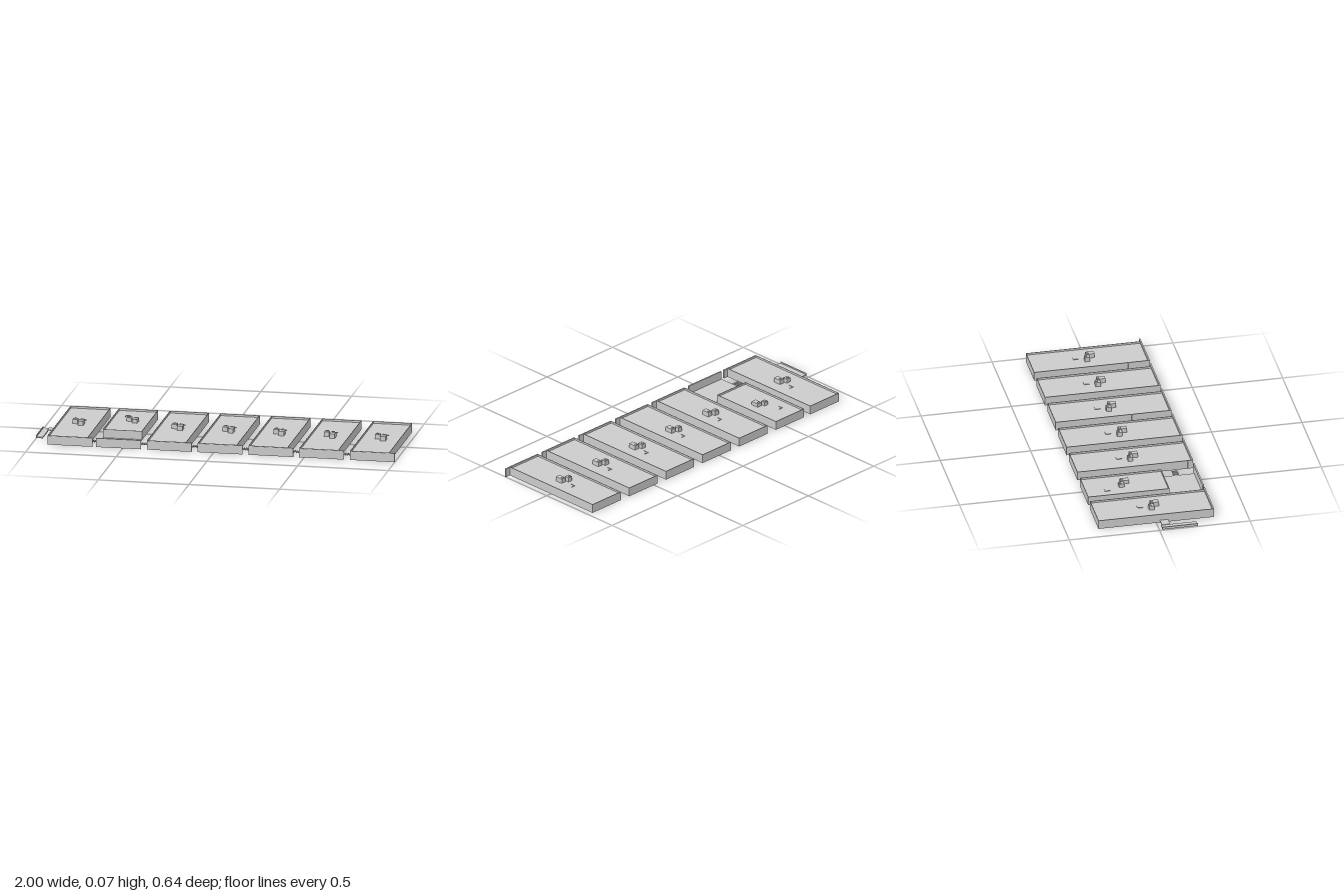
import * as THREE from 'three';

const material = new THREE.MeshStandardMaterial({ color: 0xcccccc, flatShading: true });

// Box given by its minimum and maximum on each axis.
function box(parent, name, x0, x1, y0, y1, z0, z1) {
  const mesh = new THREE.Mesh(new THREE.BoxGeometry(x1 - x0, y1 - y0, z1 - z0), material);
  mesh.position.set((x0 + x1) / 2, (y0 + y1) / 2, (z0 + z1) / 2);
  mesh.name = name;
  parent.add(mesh);
  return mesh;
}

function section(parent, name, x, z = 0) {
  const group = new THREE.Group();
  group.name = name;
  group.position.set(x, 0, z);
  parent.add(group);
  return group;
}

const BACK = -0.32, FRONT = 0.315, TOP = 0.05, DECK = 0.039, RIM = 0.003;

// Shallow tray: deck sunk below a thin rim.
function tray(parent, w, front) {
  box(parent, 'deck', 0, w, 0, DECK, BACK, front);
  box(parent, 'rightRim', 0, RIM, DECK, TOP, BACK, front);
  box(parent, 'leftRim', w - RIM, w, DECK, TOP, BACK, front);
  box(parent, 'backRim', RIM, w - RIM, DECK, TOP, BACK, BACK + RIM);
  box(parent, 'frontRim', RIM, w - RIM, DECK, TOP, front - RIM, front);
}

// Pair of stepped blocks standing on the deck.
function fittings(parent, x, z, top) {
  const group = section(parent, 'fittings', x, z);
  const blocks = [[0, 0.028, -0.02, 0.008], [0.036, 0.065, -0.005, 0.041]];
  for (const [x0, x1, z0, z1] of blocks) {
    box(group, 'fittingBase', x0, x1, DECK, top, z0, z1);
    box(group, 'fittingCap', x0 + 0.007, x1 - 0.007, top, top + 0.004, z0 + 0.003, z0 + 0.013);
  }
  return group;
}

// Small L-shaped floor marker.
function marker(parent, x, z) {
  const group = section(parent, 'cornerMarker', x, z);
  box(group, 'markerLong', 0, 0.003, DECK, DECK + 0.003, -0.015, 0.015);
  box(group, 'markerShort', 0, 0.025, DECK, DECK + 0.003, -0.015, -0.012);
}

export function createModel() {
  const model = new THREE.Group();
  model.name = 'rowOfTrays';

  for (let i = 0; i < 7; i++) {
    const x = i === 0 ? -0.914 : -0.647 + 0.28 * (i - 1);
    const w = i === 0 ? 0.221 : 0.216;
    const unit = section(model, 'trayUnit', x);
    box(unit, 'frontPanel', 0, 0.247, 0, TOP - 0.001, 0.312, 0.32);

    if (i === 1) {
      // Shortened deck with an open, low floor at the front.
      tray(unit, w, 0.13);
      box(unit, 'openFloor', 0, w, 0, 0.003, 0.13, 0.313);
      fittings(unit, 0.085, -0.11, 0.059);
      marker(unit, 0.06, -0.2);
    } else {
      tray(unit, w, FRONT);
      fittings(unit, 0.075, -0.003, 0.064);
      marker(unit, 0.11, -0.065);
      // Narrow posts on the right-hand side.
      for (const z of [0.1, 0.2, 0.29]) box(unit, 'sidePost', -0.002, 0, 0, TOP, z, z + 0.006);
    }

    // Slatted link to the next tray.
    if (i < 6) {
      box(unit, 'linkPlate', w, w + 0.048, 0, 0.002, 0.205, 0.217);
      for (let s = 0; s < 4; s++) {
        const sx = w + 0.004 + s * 0.012;
        box(unit, 'linkSlat', sx, sx + 0.006, 0, 0.006, 0.198, 0.23);
      }
    }
  }

  // Hooked bracket at the end of the row.
  const bracket = section(model, 'endBracket', 0);
  box(bracket, 'bracketArm', -0.965, -0.914, 0.009, 0.014, 0.02, 0.066);
  box(bracket, 'bracketPlate', -1, -0.962, 0.004, 0.011, 0.016, 0.212);
  box(bracket, 'bracketLip', -1, -0.996, 0.011, 0.018, 0.016, 0.212);
  return model;
}
